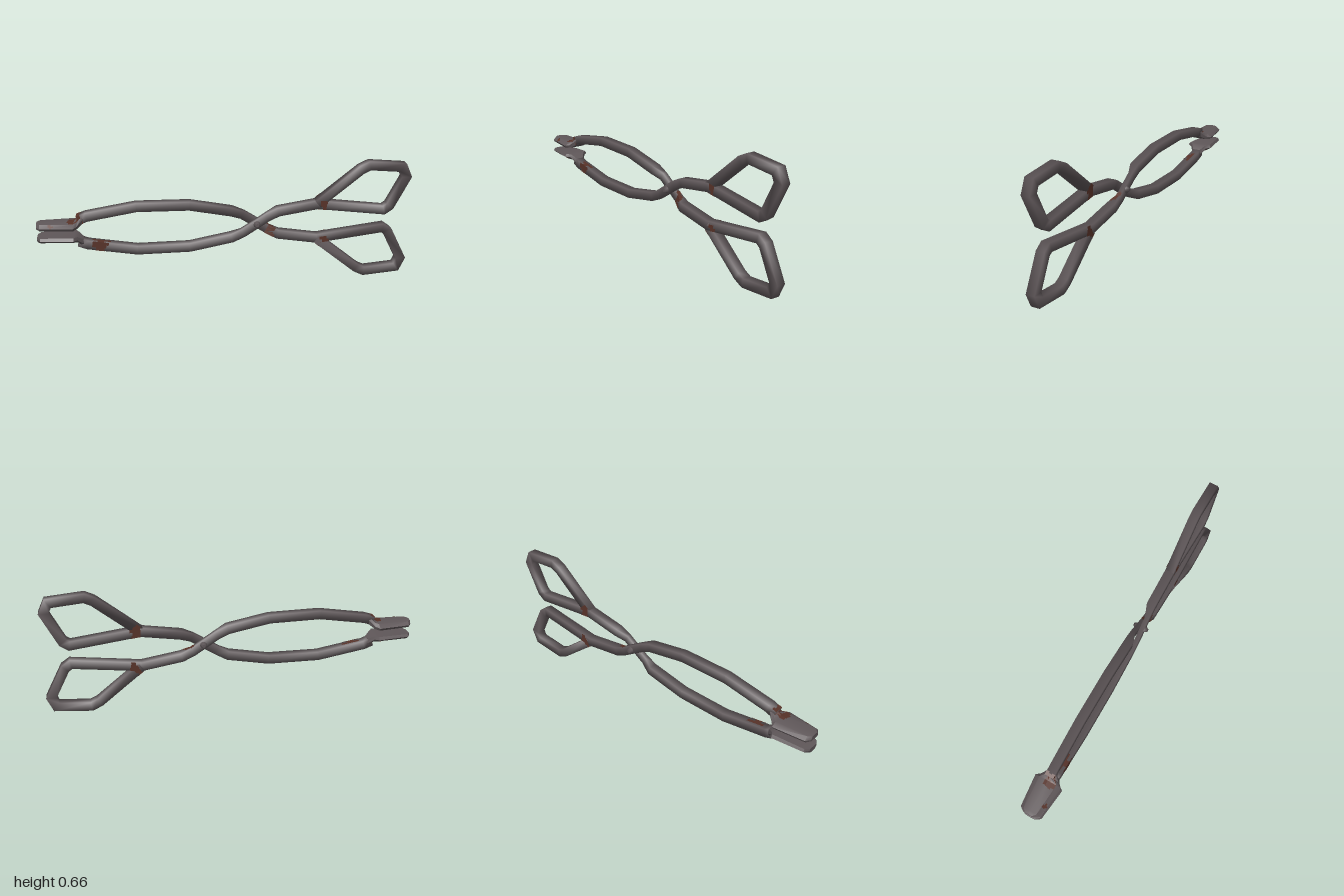
import * as THREE from 'three';
import { toCreasedNormals } from 'three/addons/utils/BufferGeometryUtils.js';

const MID = 0.332, R = 0.024, STRIPS = 3;

const iron = new THREE.MeshStandardMaterial({ color: 0x5f5759 });
iron.name = 'dark iron';
const rust = new THREE.MeshStandardMaterial({ color: 0x583329, side: THREE.DoubleSide });
rust.name = 'rust';

// Bar centreline: jaw, bow, half-lapped crossing (third value 1), then round the handle loop
const PATH = [
  [-0.785, 0.393], [-0.74, 0.41], [-0.48, 0.453], [-0.2, 0.45], [0.025, 0.407], [0.085, 0.38, 1],
  [0.16, 0.332, 1], [0.215, 0.296, 1], [0.275, 0.268], [0.49, 0.234], [0.855, 0.28], [0.887, 0.258],
  [0.97, 0.095], [0.946, 0.042], [0.765, 0.026], [0.72, 0.047], [0.49, 0.232],
];

// Mitred square cross-sections; side 0 faces +z, then below, -z and above
function barRings(r) {
  const pts = PATH.map(([x, y]) => new THREE.Vector2(x, y));
  return PATH.map(([x, y, flat], i) => {
    const a = pts[i].clone().sub(pts[Math.max(i - 1, 0)]).normalize();
    const b = pts[Math.min(i + 1, pts.length - 1)].clone().sub(pts[i]).normalize();
    const t = a.clone().add(b).normalize();
    const end = i === 0 || i === pts.length - 1;
    const n = end ? r : r * Math.min(1.25, 1 / t.dot(b));
    return [[n, r], [-n, r], [-n, -r], [n, -r]].map(([u, z]) =>
      new THREE.Vector3(x - t.y * u, y + t.x * u, flat ? z * 0.5 - R / 2 : z));
  });
}

function geometryFrom(tris, crease) {
  const g = new THREE.BufferGeometry().setFromPoints(tris);
  g.computeVertexNormals();
  return crease ? toCreasedNormals(g, crease) : g;
}

// Skin a row of rings and close both ends
function skin(rings, crease) {
  const tris = [], n = rings[0].length;
  for (let i = 0; i < rings.length - 1; i++) {
    for (let j = 0; j < n; j++) {
      const k = (j + 1) % n, p = rings[i], q = rings[i + 1];
      tris.push(p[j], p[k], q[j], p[k], q[k], q[j]);
    }
  }
  const first = rings[0], last = rings[rings.length - 1];
  for (let j = 1; j < n - 1; j++) {
    tris.push(first[0], first[j + 1], first[j], last[0], last[j], last[j + 1]);
  }
  return geometryFrom(tris, crease);
}

// Ragged patch on one segment: lengthwise fractions t0..t1, sides u0..u1
function patch(rings, [seg, t0, t1, u0, u1]) {
  const tris = [], p = rings[seg], q = rings[seg + 1], n = p.length, d = t1 - t0;
  for (let m = Math.round(u0 * STRIPS); m < u1 * STRIPS; m++) {
    const j = ((Math.floor(m / STRIPS) % n) + n) % n, k = (j + 1) % n;
    const f = (m - Math.floor(m / STRIPS) * STRIPS) / STRIPS;
    const at = (w, t) => p[j].clone().lerp(p[k], w).lerp(q[j].clone().lerp(q[k], w), t);
    const s = t0 + (t0 > 0 ? d * 0.15 * (1 + Math.sin(m * 4.1)) : 0);
    const e = t1 - (t1 < 1 ? d * 0.2 * (1 + Math.sin(m * 2.7)) : 0);
    const g = f + 1 / STRIPS;
    tris.push(at(f, s), at(g, s), at(f, e), at(g, s), at(g, e), at(f, e));
  }
  return geometryFrom(tris);
}

// Jaw cross-sections: x, half width, bottom, edge, shoulder and ridge heights
function jawRings(grow) {
  return [
    [-1, 0.03, 0.356, 0.366, 0.382, 0.384],
    [-0.982, 0.056, 0.353, 0.366, 0.383, 0.386],
    [-0.81, 0.075, 0.351, 0.366, 0.383, 0.388],
    [-0.79, 0.05, 0.354, 0.37, 0.388, 0.402],
    [-0.76, 0.025, 0.376, 0.4, 0.42, 0.424],
  ].map(([x, w, yb, ye, ys, yr]) => [
    [0, yr + grow], [w * 0.65, ys + grow], [w + grow, ye], [w * 0.86, yb - grow],
    [-w * 0.86, yb - grow], [-w - grow, ye], [-w * 0.65, ys + grow],
  ].map(([z, y]) => new THREE.Vector3(x, y, z)));
}

function makeArm(name, barRust, jawRust) {
  const arm = new THREE.Group();
  arm.name = name;
  const add = (geo, mat, part) => {
    geo.translate(0, -MID, 0);
    const mesh = new THREE.Mesh(geo, mat);
    mesh.name = part;
    arm.add(mesh);
  };
  add(skin(barRings(R), Math.PI), iron, 'barAndHandle');
  add(skin(jawRings(0), 0.5), iron, 'jaw');
  const outerBar = barRings(R + 0.001), outerJaw = jawRings(0.001);
  barRust.forEach((p) => add(patch(outerBar, p), rust, 'barRust'));
  jawRust.forEach((p) => add(patch(outerJaw, p), rust, 'jawRust'));
  arm.position.y = MID;
  return arm;
}

export function createModel() {
  const model = new THREE.Group();
  model.name = 'tongs';

  // Each arm is the other turned half a circle about the long axis
  const neckRust = [[1, 0.8, 1, -0.4, 0.7], [2, 0, 1, -0.4, 1], [3, 0, 0.8, -0.7, 1]];
  const upper = makeArm('upperJawArm',
    [[0, 0, 0.5, -1, 0.7], [6, 0.6, 1, -1, 0], [7, 0, 0.8, -0.7, 1],
      [9, 0.04, 0.19, 0.3, 3], [15, 0.84, 0.98, 2, 4]],
    [...neckRust, [1, 0.24, 0.42, 1, 1.7]]);
  const lower = makeArm('lowerJawArm',
    [[1, 0.05, 0.45, 1.4, 2.7], [9, 0, 0.16, -1, 1], [9, 0.03, 0.16, 1, 3], [15, 0.84, 0.98, 0, 1]],
    [...neckRust, [1, 0.7, 1, -1, -0.4]]);
  lower.rotation.x = Math.PI;
  model.add(upper, lower);

  // Pivot rivet with tapered heads on both faces
  const profile = [[0, -0.042], [0.009, -0.042], [0.019, -0.024], [0.019, 0.024], [0.009, 0.042], [0, 0.042]]
    .map(([x, y]) => new THREE.Vector2(x, y));
  const rivet = new THREE.Mesh(toCreasedNormals(new THREE.LatheGeometry(profile, 8), 1.2), iron);
  rivet.name = 'pivotRivet';
  rivet.rotation.x = Math.PI / 2;
  rivet.position.set(0.16, MID, 0);
  model.add(rivet);
  return model;
}
